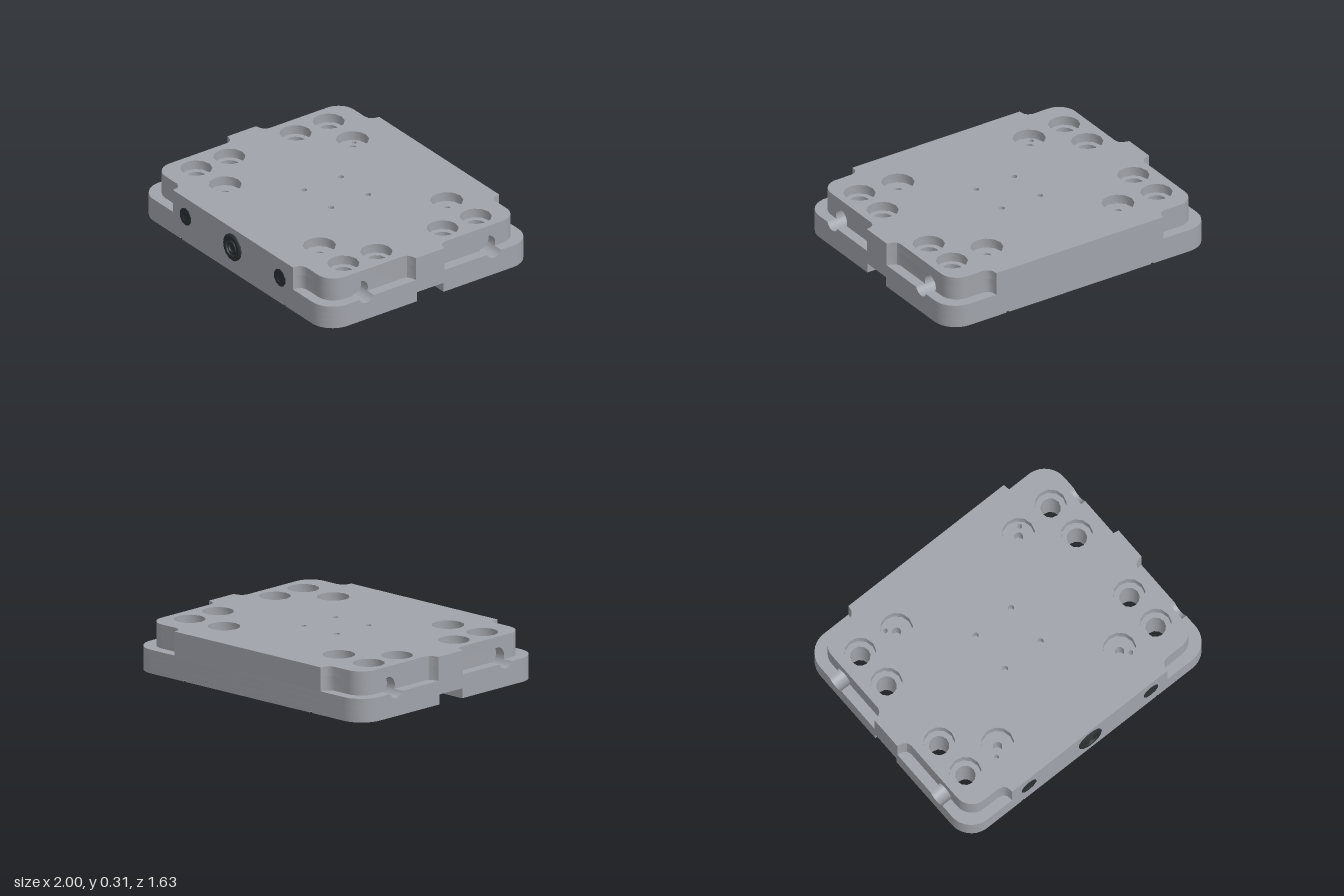
import * as THREE from 'three';
import { toCreasedNormals } from 'three/addons/utils/BufferGeometryUtils.js';

const steel = new THREE.MeshStandardMaterial({ color: 0xa0a3aa });
steel.name = 'grey steel';
const black = new THREE.MeshStandardMaterial({ color: 0x2a3032 });
black.name = 'black plug';

const HALF_Z = 0.81, BORE_Z = 0.5, BORE_Y = 0.18, BORE_R = 0.062, POCKET_END = 0.86, BLOCK = 0.063;
const LEDGE = 0.155, BORE_BOTTOM = 0.11, FLOOR = 0.25, TOP = 0.312;

function arc(cx, cy, r, a0, a1, n = 10) {
  return Array.from({ length: n + 1 }, (_, i) => {
    const a = a0 + (a1 - a0) * i / n;
    return [cx + r * Math.cos(a), cy + r * Math.sin(a)];
  });
}

// Mirror a quarter outline (from the +x side round to the +y side) into a full shape
function mirrored(q) {
  const r = [...q].reverse();
  const pts = [
    ...q,
    ...r.map(([x, y]) => [-x, y]),
    ...q.map(([x, y]) => [-x, -y]),
    ...r.map(([x, y]) => [x, -y]),
  ];
  return new THREE.Shape(pts.map(([x, y]) => new THREE.Vector2(x, y)));
}

const roundedRect = (hx, hy, r) => mirrored(arc(hx - r, hy - r, r, 0, Math.PI / 2));

function boreNotch(edge) {
  const a = BORE_Z - BLOCK, b = BORE_Z + BLOCK;
  return [[edge, a], [POCKET_END, a], [POCKET_END, b], [edge, b]];
}

// Full-size outline, with optional side slot, bore notch and underside groove ends
function lowerOutline({ slot, bore, groove } = {}) {
  const q = [];
  if (slot) q.push(...arc(0.78, 0.045, 0.06, Math.PI, Math.PI / 2, 6), [1, 0.105]);
  if (bore) q.push(...boreNotch(1));
  q.push(...arc(0.84, HALF_Z - 0.16, 0.16, 0, Math.PI / 2));
  if (groove) q.push([0.56, HALF_Z], [0.56, 0.54], [0.54, 0.54], [0.54, HALF_Z]);
  return mirrored(q);
}

// Upper outline, cut back at the four corners
function upperOutline(bore) {
  const q = [[1, 0.112], [0.965, 0.12], [0.94, 0.137], [0.93, 0.165]];
  if (bore) q.push(...boreNotch(0.93));
  q.push(...arc(0.81, 0.62, 0.12, 0, Math.PI / 2));
  q.push([0.69, 0.74], [0.66, 0.75], [0.643, 0.77], [0.637, HALF_Z]);
  return mirrored(q);
}

// Four mirrored round holes
function drill(shape, x, z, r) {
  for (const sx of [-1, 1]) for (const sz of [-1, 1]) {
    const hole = new THREE.Path();
    hole.absarc(sx * x, sz * z, r, 0, Math.PI * 2, true);
    shape.holes.push(hole);
  }
}

function boltHoles(shape, r) {
  drill(shape, 0.78, 0.52, r);
  drill(shape, 0.78, 0.26, r);
}

function extrude(shape, depth) {
  return new THREE.ExtrudeGeometry(shape, { depth, bevelEnabled: false, curveSegments: 6 });
}

export function createModel() {
  const model = new THREE.Group();
  model.name = 'mountingPlate';
  const body = new THREE.Group();
  body.name = 'plateBody';
  body.position.z = -0.0075;
  model.add(body);

  function add(name, geometry, material = steel) {
    const mesh = new THREE.Mesh(toCreasedNormals(geometry, 0.6), material);
    mesh.name = name;
    body.add(mesh);
    return mesh;
  }
  function layer(name, shape, y0, y1) {
    add(name, extrude(shape, y1 - y0).rotateX(-Math.PI / 2).translate(0, y0, 0));
  }
  function undersideHoles(shape) {
    drill(shape, 0.48, 0.31, 0.032);
    drill(shape, 0.66, 0.53, 0.012);
    drill(shape, 0.94, 0.53, 0.01);
  }

  // Underside skin with a shallow rectangular groove and groove ends
  const skin = lowerOutline({ slot: true, groove: true });
  boltHoles(skin, 0.065);
  drill(skin, 0.66, 0.53, 0.012);
  drill(skin, 0.94, 0.53, 0.01);
  skin.holes.push(roundedRect(0.555, 0.525, 0.09));
  layer('undersideSkin', skin, 0, 0.008);
  const island = roundedRect(0.54, 0.51, 0.08);
  drill(island, 0.48, 0.31, 0.032);
  const centre = new THREE.Path();
  centre.absarc(0, 0, 0.012, 0, Math.PI * 2, true);
  island.holes.push(centre);
  layer('undersidePanel', island, 0, 0.008);

  // Base with side slots
  const base = lowerOutline({ slot: true });
  boltHoles(base, 0.065);
  undersideHoles(base);
  drill(base, 0.55, 0.55, 0.016);
  layer('slottedBase', base, 0.008, 0.065);

  const middle = lowerOutline();
  boltHoles(middle, 0.065);
  drill(middle, 0.55, 0.55, 0.016);
  layer('lowerPlate', middle, 0.065, BORE_BOTTOM);

  const ledge = lowerOutline({ bore: true });
  boltHoles(ledge, 0.065);
  drill(ledge, 0.55, 0.55, 0.016);
  layer('cornerLedge', ledge, BORE_BOTTOM, LEDGE);

  // Upper plate: pocket floors, then counterbores and round pockets
  const upper = upperOutline(true);
  boltHoles(upper, 0.065);
  drill(upper, 0.55, 0.55, 0.016);
  drill(upper, 0.5, 0.5, 0.03);
  layer('upperPlate', upper, LEDGE, FLOOR);

  const deck = upperOutline(false);
  boltHoles(deck, 0.102);
  drill(deck, 0.5, 0.5, 0.105);
  drill(deck, 0.145, 0.145, 0.02);
  layer('topDeck', deck, FLOOR, TOP);

  // Side bores: a trough in the ledge and an arch in the upper plate
  const a = Math.asin((BORE_Y - LEDGE) / BORE_R);
  const toShape = pts => new THREE.Shape(pts.map(([x, y]) => new THREE.Vector2(x, y)));
  const trough = toShape([
    [-BLOCK, BORE_BOTTOM], [BLOCK, BORE_BOTTOM], [BLOCK, LEDGE],
    ...arc(0, BORE_Y, BORE_R, -a, -Math.PI + a, 12), [-BLOCK, LEDGE],
  ]);
  const arch = toShape([
    [BLOCK, LEDGE], [BLOCK, FLOOR], [-BLOCK, FLOOR], [-BLOCK, LEDGE],
    ...arc(0, BORE_Y, BORE_R, Math.PI + a, -a, 16),
  ]);
  for (const side of [-1, 1]) for (const end of [-1, 1]) {
    const place = g => g.rotateY(side * Math.PI / 2).translate(side * POCKET_END, 0, end * BORE_Z);
    add('boreTrough', place(extrude(trough, 1 - POCKET_END)));
    add('boreArch', place(extrude(arch, 0.93 - POCKET_END)));
  }

  // Front plugs, turned profiles with a sunken socket
  function plug(name, x, profile, segments) {
    const pts = profile.map(([r, h]) => new THREE.Vector2(r, h));
    const g = new THREE.LatheGeometry(pts, segments).rotateX(Math.PI / 2);
    add(name, g, black).position.set(x, BORE_Y, HALF_Z);
  }
  plug('centrePlug', 0, [
    [0.092, -0.01], [0.092, 0.008], [0.082, 0.015], [0.058, 0.015], [0.054, 0.005],
    [0.046, 0.005], [0.042, 0.013], [0.032, 0.013], [0.03, 0.003], [0, 0.003],
  ], 16);
  for (const side of [-1, 1]) {
    plug('sidePlug', side * 0.5, [
      [0.06, -0.01], [0.06, 0.004], [0.03, 0.004], [0.026, 0.001], [0, 0.001],
    ], 10);
  }
  return model;
}
